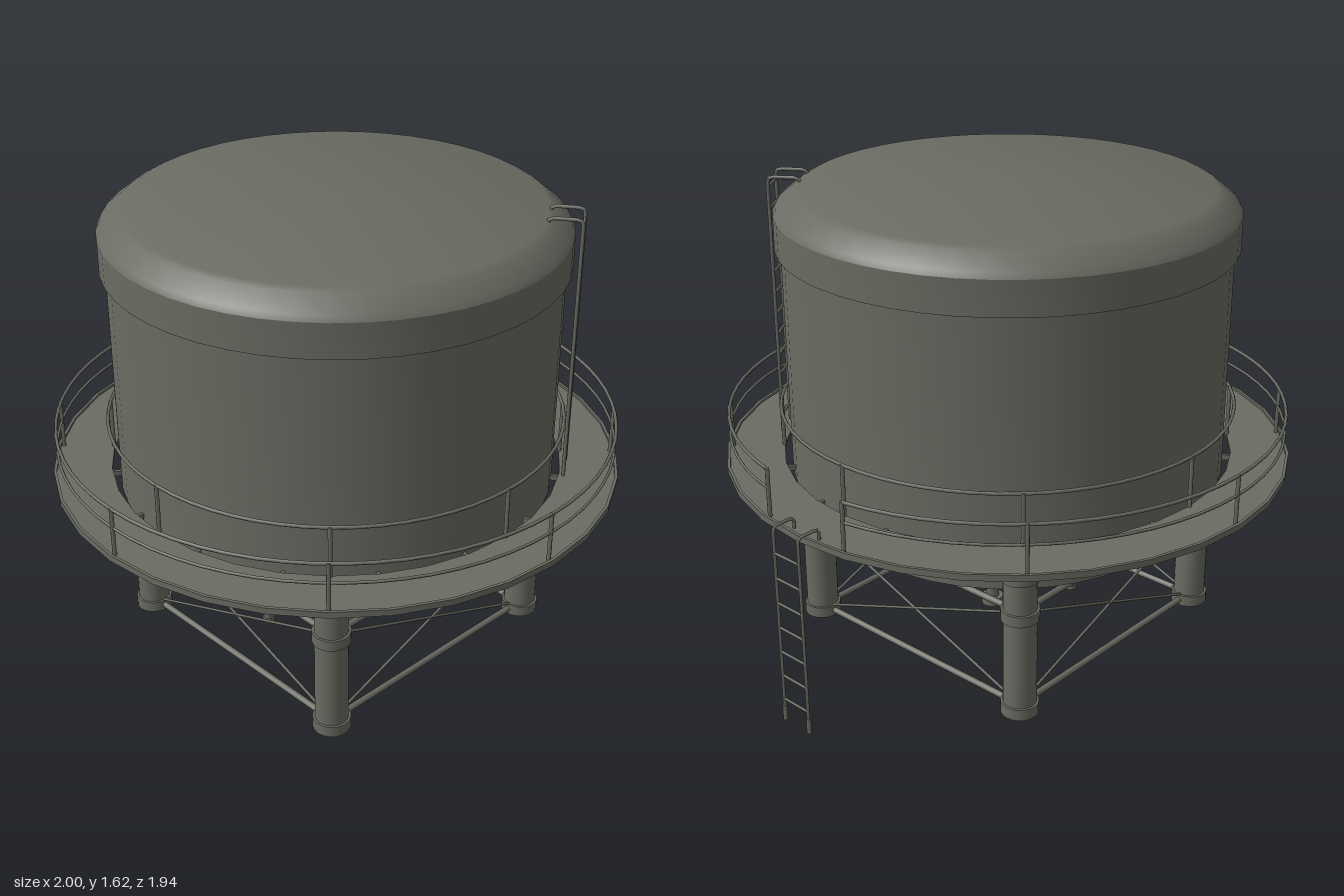
import * as THREE from 'three';
import { toCreasedNormals } from 'three/addons/utils/BufferGeometryUtils.js';

const steel = new THREE.MeshStandardMaterial({ color: 0x6a6b62 });
steel.name = 'weathered steel';

const V = (x, y, z) => new THREE.Vector3(x, y, z);
const polar = (r, a, y) => V(r * Math.cos(a), y, r * Math.sin(a));
const rad = THREE.MathUtils.degToRad;

export function createModel() {
  const model = new THREE.Group();
  model.name = 'waterTower';
  const tower = new THREE.Group();
  tower.name = 'tower';
  tower.position.x = -0.027;
  model.add(tower);

  const add = (name, geometry, parent = tower) => {
    const mesh = new THREE.Mesh(geometry, steel);
    mesh.name = name;
    parent.add(mesh);
    return mesh;
  };
  const group = (name) => {
    const g = new THREE.Group();
    g.name = name;
    tower.add(g);
    return g;
  };
  // Revolved profile of [radius, height] points, listed from the bottom outward and up
  const lathe = (name, points, segments, parent) => add(name, toCreasedNormals(
    new THREE.LatheGeometry(points.map(([r, y]) => new THREE.Vector2(r, y)), segments), 0.5), parent);
  const ringProfile = (r0, r1, y0, y1) => [[r0, y0], [r1, y0], [r1, y1], [r0, y1], [r0, y0]];
  // Upright cylinder between two heights
  const post = (name, x, z, r, y0, y1, parent, sides = 20) => {
    add(name, new THREE.CylinderGeometry(r, r, y1 - y0, sides), parent).position.set(x, (y0 + y1) / 2, z);
  };
  // Straight bar between two points
  const bar = (name, a, b, r, parent, sides = 8) => {
    const dir = b.clone().sub(a);
    const mesh = add(name, new THREE.CylinderGeometry(r, r, dir.length(), sides), parent);
    mesh.position.copy(a).add(b).multiplyScalar(0.5);
    mesh.quaternion.setFromUnitVectors(V(0, 1, 0), dir.normalize());
  };
  // Bent pipe along straight runs with rounded corners
  const pipe = (name, pts, r, bend, parent, sides = 8) => {
    const path = new THREE.CurvePath();
    let from = pts[0];
    for (let i = 1; i < pts.length - 1; i++) {
      const p = pts[i];
      const a = p.clone().add(pts[i - 1].clone().sub(p).setLength(bend));
      const b = p.clone().add(pts[i + 1].clone().sub(p).setLength(bend));
      path.add(new THREE.LineCurve3(from, a));
      path.add(new THREE.QuadraticBezierCurve3(a, p, b));
      from = b;
    }
    path.add(new THREE.LineCurve3(from, pts[pts.length - 1]));
    add(name, new THREE.TubeGeometry(path, 60, r, sides), parent);
  };

  // Tank: dished bottom, straight wall, wider cap band and bevelled roof
  lathe('tank', [
    [0, 0.445], [0.3, 0.465], [0.52, 0.53], [0.64, 0.57], [0.72, 0.605], [0.748, 0.635],
    [0.748, 1.42], [0.767, 1.42], [0.767, 1.535], [0.757, 1.553], [0.7, 1.598], [0.68, 1.608], [0, 1.612],
  ], 48);

  // Ring beam carrying the dish, with short support blocks
  lathe('ringBeam', ringProfile(0.54, 0.631, 0.45, 0.515), 40);
  for (let i = 0; i < 8; i++) {
    const a = (i + 0.5) * Math.PI / 4;
    const block = add('ringSupport', new THREE.BoxGeometry(0.12, 0.06, 0.05));
    block.position.copy(polar(0.53, a, 0.51));
    block.rotation.y = -a;
  }

  // Walkway with a thin outer lip and brackets underneath
  lathe('walkway', ringProfile(0.775, 0.965, 0.676, 0.688), 32);
  lathe('walkwayLip', ringProfile(0.962, 0.972, 0.674, 0.696), 32);
  for (let i = 0; i < 16; i++) {
    const a = (i + 0.5) * Math.PI / 8;
    const bracket = add('walkwayBracket', new THREE.BoxGeometry(0.11, 0.018, 0.012));
    bracket.position.copy(polar(0.795, a, 0.667));
    bracket.rotation.y = -a;
  }

  // Railings: outer one is open at the access ladder, inner one runs all round
  const railing = group('railing');
  const hoop = (name, r, y, tube, gap) => {
    const g = new THREE.TorusGeometry(r, tube, 6, 64, Math.PI * 2 - 2 * gap);
    g.rotateZ(gap).rotateX(Math.PI / 2);
    add(name, g, railing).position.y = y;
  };
  const gate = rad(10.3);
  hoop('outerTopRail', 0.952, 0.855, 0.006, gate);
  hoop('outerMiddleRail', 0.952, 0.787, 0.005, gate);
  hoop('innerRail', 0.777, 0.865, 0.006, 0);
  for (let i = 0; i < 8; i++) {
    const a = i * Math.PI / 4;
    const inner = polar(0.777, a, 0), outer = polar(0.952, a, 0);
    post('innerRailPost', inner.x, inner.z, 0.007, 0.68, 0.868, railing, 8);
    if (i > 0) post('outerRailPost', outer.x, outer.z, 0.007, 0.68, 0.858, railing, 8);
  }
  for (const a of [gate, -gate]) {
    const p = polar(0.952, a, 0);
    post('gatePost', p.x, p.z, 0.007, 0.68, 0.858, railing, 8);
  }

  // Legs with collars, tied by horizontal struts and crossed rods
  const frame = group('legFrame');
  const L = 0.476;
  const corners = [[L, L], [-L, L], [-L, -L], [L, -L]];
  corners.forEach(([x, z], i) => {
    post('leg', x, z, 0.056, 0.02, 0.545, frame);
    post('legTopCollar', x, z, 0.063, 0.515, 0.545, frame);
    post('legMiddleCollar', x, z, 0.064, 0.37, 0.408, frame);
    post('legFootCollar', x, z, 0.064, 0.02, 0.06, frame);
    const [u, w] = corners[(i + 1) % 4];
    for (const y of [0.04, 0.39]) bar('strut', V(x, y, z), V(u, y, w), 0.011, frame);
    bar('crossRod', V(x, 0.04, z), V(u, 0.39, w), 0.005, frame, 6);
    bar('crossRod', V(x, 0.39, z), V(u, 0.04, w), 0.005, frame, 6);
  });

  // Pipework below the dish
  const pipes = group('pipework');
  post('riserFlange', 0, -0.08, 0.088, 0.418, 0.455, pipes);
  post('riserSleeve', 0, -0.08, 0.066, 0.16, 0.42, pipes);
  post('riserPipe', 0, -0.08, 0.042, 0.02, 0.18, pipes);
  post('riserFoot', 0, -0.08, 0.06, 0.02, 0.045, pipes);
  post('drainFlange', -0.246, -0.1, 0.043, 0.42, 0.465, pipes);
  post('drainSleeve', -0.246, -0.1, 0.026, 0.26, 0.42, pipes);
  post('drainPipe', -0.246, -0.1, 0.017, 0.02, 0.27, pipes);
  post('drainFoot', -0.246, -0.1, 0.022, 0.02, 0.035, pipes);
  post('outletFlange', 0, 0.2, 0.053, 0.415, 0.46, pipes);
  pipe('outletPipe', [V(0, 0.43, 0.2), V(0, 0.24, 0.2), V(0, 0.24, 0.072), V(0, 0.01, 0.072)],
    0.024, 0.055, pipes, 14);
  post('outletFoot', 0, 0.072, 0.04, 0, 0.03, pipes);

  // Ladder up the tank wall, hooked over the roof edge; built facing +x then turned
  const tankLadder = group('tankLadder');
  for (const z of [-0.053, 0.053]) {
    pipe('tankLadderRail', [V(0.79, 0.7, z), V(0.79, 1.617, z), V(0.68, 1.617, z), V(0.68, 1.595, z)],
      0.0065, 0.018, tankLadder);
  }
  for (let y = 0.765; y < 1.6; y += 0.0745) bar('tankLadderRung', V(0.79, y, -0.053), V(0.79, y, 0.053), 0.005, tankLadder, 6);
  tankLadder.rotation.y = -rad(55);

  // Ladder from the ground to the walkway opening
  const accessLadder = group('accessLadder');
  const X = 1.02;
  for (const z of [-0.057, 0.057]) {
    pipe('accessLadderRail', [V(X, 0.02, z), V(X, 0.725, z), V(0.935, 0.725, z), V(0.935, 0.685, z)],
      0.0055, 0.018, accessLadder);
    post('accessLadderFoot', X, z, 0.008, 0.02, 0.075, accessLadder, 8);
  }
  for (let i = 0; i < 7; i++) {
    const y = 0.1 + i * 0.089;
    bar('accessLadderRung', V(X, y, -0.057), V(X, y, 0.057), 0.005, accessLadder, 6);
  }

  return model;
}
